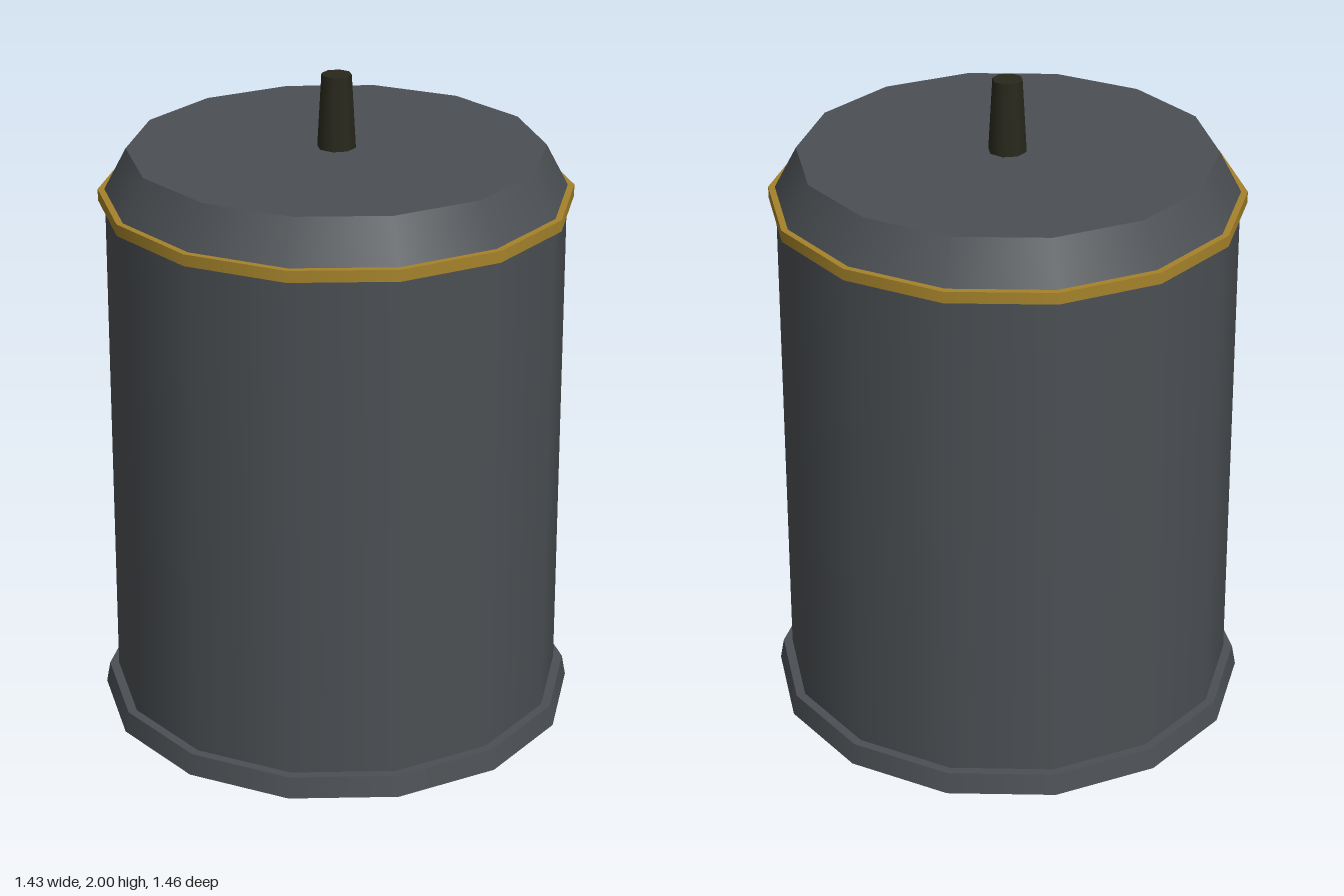
import * as THREE from 'three';

export function createModel() {
  const model = new THREE.Group();
  const paint = (name, color) => {
    const m = new THREE.MeshStandardMaterial({ color });
    m.name = name;
    return m;
  };
  const iron = paint('grey iron', 0x4b4f53);
  const brass = paint('brass', 0xa5832b);
  const dark = paint('dark metal', 0x28281c);

  // Tapered drum standing between two heights
  const drum = (name, rTop, rBottom, y0, y1, sides, material) => {
    const mesh = new THREE.Mesh(new THREE.CylinderGeometry(rTop, rBottom, y1 - y0, sides), material);
    mesh.name = name;
    mesh.position.y = (y0 + y1) / 2;
    model.add(mesh);
  };

  const sides = 14;
  drum('baseFlange', 0.72, 0.732, 0, 0.065, sides, iron);
  drum('body', 0.682, 0.692, 0.06, 1.65, sides, iron);
  drum('trimRing', 0.703, 0.703, 1.62, 1.655, sides, brass);
  drum('lid', 0.617, 0.685, 1.652, 1.78, sides, iron);
  drum('topSpindle', 0.045, 0.058, 1.775, 2, 8, dark);
  return model;
}
